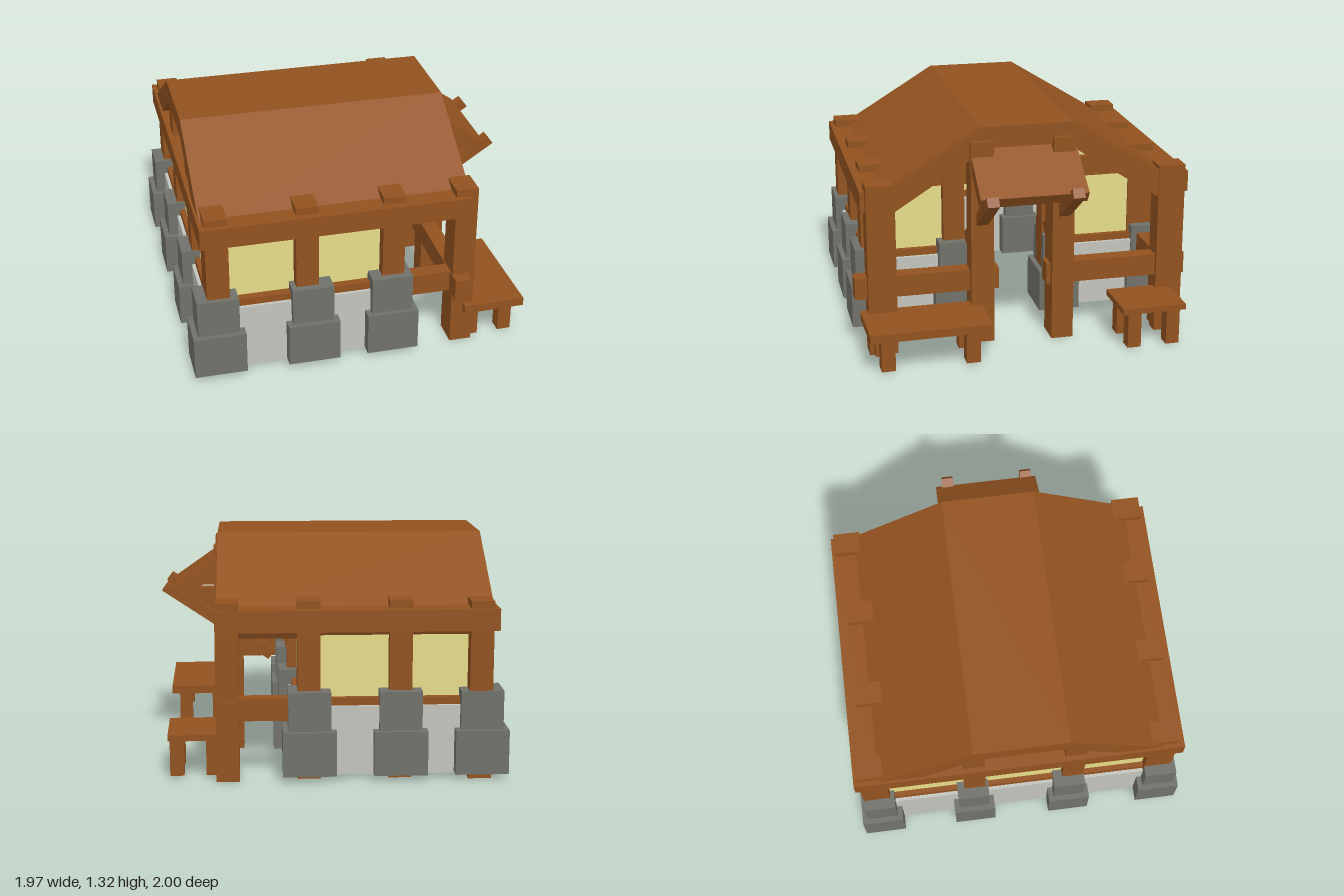
import * as THREE from 'three';

const flat = (name, color) => {
  const m = new THREE.MeshStandardMaterial({ color, side: THREE.DoubleSide });
  m.name = name;
  return m;
};

export function createModel() {
  const wood = flat('wood', 0x92521f);
  const plaster = flat('plaster', 0xe6dc8a);
  const stone = flat('stone', 0x70716a);
  const wall = flat('paleStone', 0xc2c4bc);
  const model = new THREE.Group();
  model.name = 'timberHouse';

  const add = (name, geo, mat, parent = model) => {
    const mesh = new THREE.Mesh(geo, mat);
    mesh.name = name;
    parent.add(mesh);
    return mesh;
  };
  // box from its limits; "open" leaves out the underside
  const box = (name, mat, [x0, x1], [y0, y1], [z0, z1], open = false, parent = model) => {
    const g = new THREE.BoxGeometry(x1 - x0, y1 - y0, z1 - z0);
    if (open) {
      const i = Array.from(g.index.array);
      i.splice(18, 6);
      g.setIndex(i);
      g.clearGroups();
    }
    const mesh = add(name, g, mat, parent);
    mesh.position.set((x0 + x1) / 2, (y0 + y1) / 2, (z0 + z1) / 2);
    return mesh;
  };
  const around = (c, w) => [c - w / 2, c + w / 2];
  // outline in (z, y), swept along x from x0 to x1
  const sweepX = (name, pts, x0, x1, mat) => {
    const shape = new THREE.Shape(pts.map(p => new THREE.Vector2(...p)));
    const g = new THREE.ExtrudeGeometry(shape, { depth: x1 - x0, bevelEnabled: false });
    g.rotateY(-Math.PI / 2);
    return add(name, g.translate(x1, 0, 0), mat);
  };
  // outline in (x, y), swept along z
  const sweepZ = (name, pts, z0, z1, mat) => {
    const shape = new THREE.Shape(pts.map(p => new THREE.Vector2(...p)));
    const g = new THREE.ExtrudeGeometry(shape, { depth: z1 - z0, bevelEnabled: false });
    return add(name, g.translate(0, 0, z0), mat);
  };

  // posts: front row, back row, left wall, inner wall, porch
  const post = (x, z, top, d = 0.15, bottom = 0.01, w = 0.13) =>
    box('post', wood, around(x, w), [bottom, top], around(z, d), true);
  post(-0.83, 0.845, 1.03, 0.165);
  post(-0.315, 0.835, 1.03);
  post(0.19, 0.835, 1.03);
  post(-0.83, -0.88, 1.03, 0.16);
  post(-0.38, -0.84, 1.03, 0.16);
  post(0.135, -0.84, 1.03, 0.16);
  post(0.592, -0.88, 1.03, 0.16);
  post(0.61, 0.845, 1.03, 0.165);
  for (const z of [0.32, -0.28]) post(-0.83, z, 1.18, 0.13, 0.02);
  for (const z of [0.345, -0.265]) post(0.18, z, 1.18, 0.13, 0.02);
  post(0.61, 0.26, 1.25, 0.135, 0.03);
  post(0.59, -0.22, 1.25, 0.13, 0.01, 0.17);

  // stone footings, each a wide block with a narrower one through it
  const footings = [
    [-0.838, 0.858], [-0.29, 0.858], [0.177, 0.858],
    [-0.838, -0.87], [-0.38, -0.87], [0.133, -0.87],
    [-0.838, 0.295], [-0.838, -0.295], [0.177, 0.35], [0.177, -0.295],
  ];
  for (const [x, z] of footings) {
    box('footingBase', stone, around(x, 0.302), [0.043, 0.297], around(z, 0.25), true);
    box('footingTop', stone, around(x, 0.24), [0.05, 0.52], around(z, 0.19), true);
  }

  // low stone walls
  const low = [0.033, 0.43];
  box('frontLowWall', wall, [-0.85, 0.19], low, [0.79, 0.91], true);
  box('backLowWall', wall, [-0.85, 0.19], low, [-0.92, -0.8], true);
  box('leftLowWall', wall, [-0.9, -0.78], low, [-0.85, 0.85], true);
  box('innerLowWall', wall, [0.12, 0.24], low, [0.32, 0.85], true);
  box('innerLowWall', wall, [0.12, 0.24], low, [-0.85, -0.24], true);

  // sills and porch rails
  const sill = [0.345, 0.473];
  box('frontSill', wood, [-0.83, 0.62], sill, [0.8, 0.89]);
  box('backSill', wood, [-0.83, 0.62], sill, [-0.9, -0.81]);
  box('leftSill', wood, [-0.88, -0.81], sill, [-0.85, 0.85]);
  box('innerSill', wood, [0.15, 0.22], sill, [0.32, 0.85]);
  box('innerSill', wood, [0.15, 0.22], sill, [-0.85, -0.24]);
  box('porchRail', wood, [0.54, 0.635], sill, [0.155, 1.0]);
  box('porchRail', wood, [0.54, 0.635], sill, [-0.98, -0.13]);

  // plaster panels, with a doorway in the inner wall
  box('frontPanel', plaster, [-0.83, 0.19], [0.3, 0.9], [0.82, 0.84]);
  box('backPanel', plaster, [-0.83, 0.19], [0.3, 0.9], [-0.86, -0.84]);
  const gable = [[0.83, 0.88], [0.27, 1.23], [-0.27, 1.23], [-0.83, 0.88], [-0.83, 0.3]];
  sweepX('leftPanel', [[0.83, 0.3], ...gable], -0.85, -0.83, plaster);
  sweepX('innerPanel', [
    [0.83, 0.3], ...gable, [-0.2, 0.3], [-0.2, 0.9], [0.28, 0.9], [0.28, 0.3],
  ], 0.17, 0.19, plaster);

  // beams under the eaves and across the gables
  const beam = [0.865, 0.988];
  box('frontBeam', wood, [-0.925, 0.63], beam, [0.815, 0.955]);
  box('backBeam', wood, [-0.925, 0.65], beam, [-0.98, -0.82]);
  box('leftBeam', wood, [-0.925, -0.8], beam, [-0.98, 0.955]);
  box('innerBeam', wood, [0.13, 0.23], beam, [-0.88, 0.88]);

  // three-sided roof slab
  const outer = [[0.92, 0.935], [0.27, 1.33], [-0.28, 1.33], [-0.92, 0.935]];
  const under = [[-0.85, 0.808], [-0.235, 1.205], [0.225, 1.205], [0.85, 0.808]];
  sweepX('roof', [...outer, ...under], -0.91, 0.65, wood);

  // porch awning with its diagonal braces
  sweepZ('awning', [[0.56, 1.242], [0.92, 0.99], [0.877, 0.928], [0.56, 1.15]], -0.3, 0.322, wood);
  for (const [z, y] of [[0.262, 0], [-0.225, 0.018]]) {
    sweepZ('awningBrace', [
      [0.355, 0.54 + y], [0.985, 0.965 + y], [0.95, 1.012 + y], [0.315, 0.595 + y],
    ], z - 0.034, z + 0.034, wood);
    box('awningArm', wood, [0.6, 0.87], [0.935, 1.0], around(z, 0.07));
  }

  // benches beside the porch
  const bench = (name, [x0, x1], [z0, z1], [y0, y1], legX, legZ, turn) => {
    const g = new THREE.Group();
    g.name = name;
    const cx = (x0 + x1) / 2, cz = (z0 + z1) / 2;
    box('benchTop', wood, [x0 - cx, x1 - cx], [y0, y1], [z0 - cz, z1 - cz], false, g);
    for (const x of legX) for (const z of legZ)
      box('benchLeg', wood, around(x - cx, 0.08), [0.02, y0], around(z - cz, 0.08), true, g);
    g.position.set(cx, 0, cz);
    g.rotation.y = turn;
    model.add(g);
  };
  bench('frontBench', [0.61, 0.976], [0.265, 0.967], [0.218, 0.267], [0.68, 0.89], [0.37, 0.86], 0.02);
  bench('backBench', [0.61, 0.935], [-0.893, -0.512], [0.232, 0.267], [0.68, 0.885], [-0.585, -0.82], 0.02);

  return model;
}
